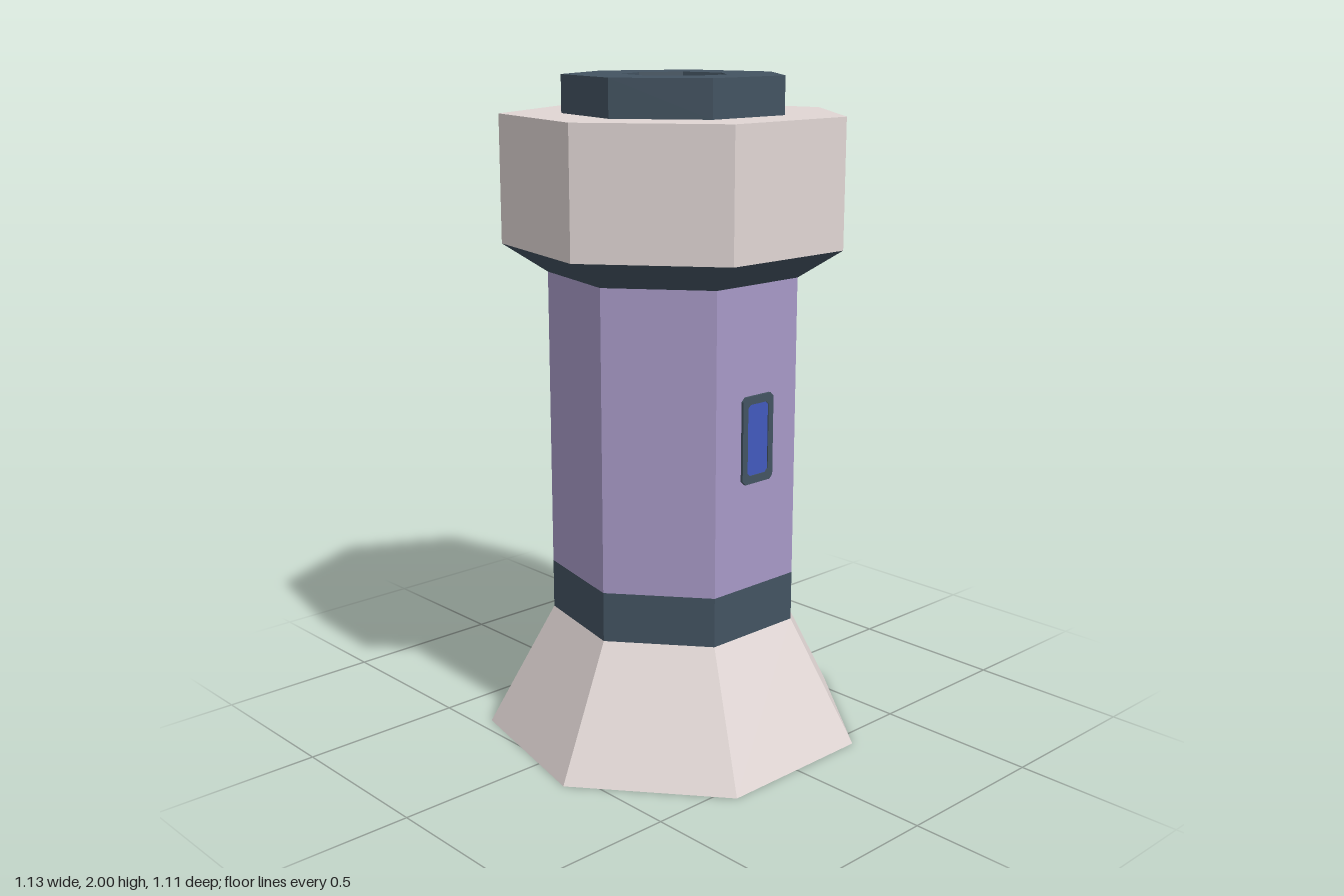
import * as THREE from 'three';

const SIDES = 7;
const CENTRE_Z = 0.029; // the heptagon's point faces back, its flat faces front

function material(name, color) {
  const m = new THREE.MeshStandardMaterial({ color, flatShading: true });
  m.name = name;
  return m;
}

// Heptagon outline with its point at +y
function heptagon(Type, r) {
  const points = [];
  for (let i = 0; i < SIDES; i++) {
    const a = Math.PI / 2 + (i / SIDES) * Math.PI * 2;
    points.push(new THREE.Vector2(Math.cos(a) * r, Math.sin(a) * r));
  }
  return new Type(points);
}

// Rectangle with cut corners
function cutRectangle(Type, w, h, c) {
  const x = w / 2, y = h / 2;
  return new Type([
    [x, -y + c], [x, y - c], [x - c, y], [-x + c, y],
    [-x, y - c], [-x, -y + c], [-x + c, -y], [x - c, -y],
  ].map(([a, b]) => new THREE.Vector2(a, b)));
}

export function createModel() {
  const stone = material('pale stone', 0xe0d6d4);
  stone.side = THREE.DoubleSide; // the flared base is an open shell
  const slate = material('dark slate', 0x435361);
  const purple = material('purple wall', 0xa799c6);
  const blue = material('blue glass', 0x4259bd);

  const tower = new THREE.Group();
  tower.name = 'tower';

  function add(name, geometry, mat, x, y, z) {
    const mesh = new THREE.Mesh(geometry, mat);
    mesh.name = name;
    mesh.position.set(x, y, z);
    tower.add(mesh);
  }

  // Seven-sided section between two heights
  function section(name, rBottom, rTop, y0, y1, mat, open = false) {
    const g = new THREE.CylinderGeometry(rTop, rBottom, y1 - y0, SIDES, 1, open, Math.PI);
    add(name, g, mat, 0, (y0 + y1) / 2, CENTRE_Z);
  }

  section('flaredBase', 0.5816, 0.377, 0, 0.38, stone, true);
  section('lowerBand', 0.377, 0.377, 0.38, 0.53, slate);
  section('shaft', 0.377, 0.377, 0.53, 1.43, purple, true);
  section('headTaper', 0.377, 0.51, 1.43, 1.515, slate, true);
  section('head', 0.51, 0.51, 1.515, 1.89, stone);

  // Ring on the roof
  const ring = heptagon(THREE.Shape, 0.33);
  ring.holes.push(heptagon(THREE.Path, 0.156));
  const ringGeometry = new THREE.ExtrudeGeometry(ring, { depth: 0.11, bevelEnabled: false });
  ringGeometry.rotateX(-Math.PI / 2);
  add('roofRing', ringGeometry, slate, 0, 1.89, CENTRE_Z);

  // Window on the front flat
  const wallZ = CENTRE_Z + 0.377 * Math.cos(Math.PI / SIDES);
  const frame = cutRectangle(THREE.Shape, 0.124, 0.26, 0.012);
  frame.holes.push(cutRectangle(THREE.Path, 0.084, 0.212, 0.01));
  add('windowFrame', new THREE.ExtrudeGeometry(frame, { depth: 0.008, bevelEnabled: false }),
    slate, 0, 0.98, wallZ);
  add('windowGlass', new THREE.BoxGeometry(0.084, 0.212, 0.005), blue, 0, 0.98, wallZ + 0.0025);

  return tower;
}
